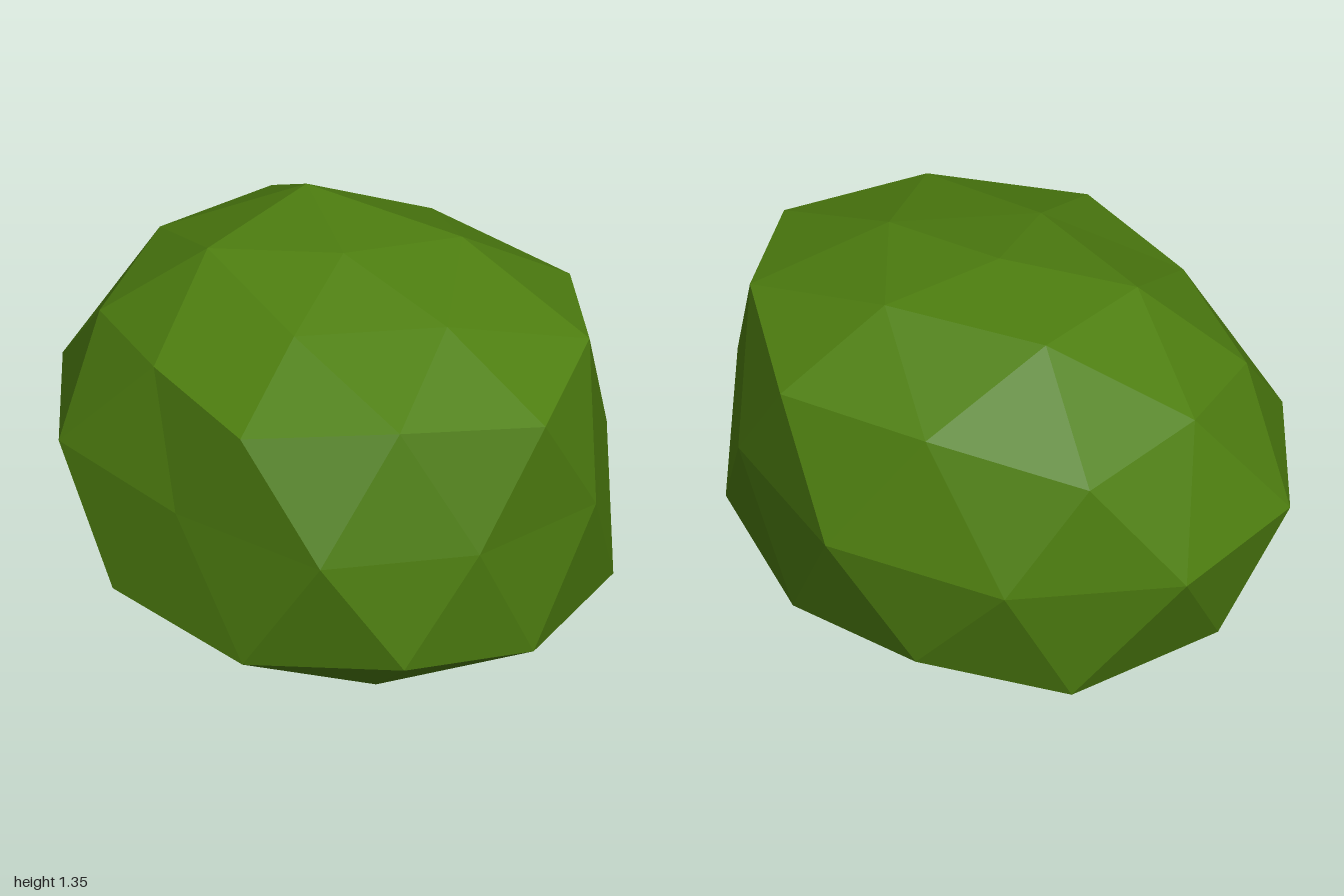
import * as THREE from 'three';

// Cross-sections from top to bottom, each ring running from +x towards +z
const top = [0.05, 1.355, 0.05];
const crown = [[0.53, 1.27, 0.05], [0.2, 1.255, 0.43], [-0.35, 1.305, 0.28], [-0.37, 1.345, -0.2], [0.2, 1.315, -0.35]];
const shoulder = [
  [0.995, 1.085, 0.06], [0.74, 1.125, 0.48], [0.32, 1.065, 0.8], [-0.2, 1.08, 0.68], [-0.65, 1.03, 0.48],
  [-0.8, 1.11, 0.05], [-0.77, 1.08, -0.44], [-0.23, 1.13, -0.64], [0.34, 1.085, -0.71], [0.76, 1.145, -0.38],
];
const waist = [
  [0.94, 0.31], [0.64, 0.75], [0.04, 0.82], [-0.57, 0.75], [-0.97, 0.33],
  [-1, -0.22], [-0.6, -0.67], [0.04, -0.83], [0.61, -0.61], [0.97, -0.2],
].map(([x, z]) => [x, 0.68, z]);
const skirt = [
  [0.94, 0.215, 0.06], [0.81, 0.28, 0.53], [0.32, 0.21, 0.79], [-0.25, 0.28, 0.82], [-0.68, 0.23, 0.47],
  [-0.9, 0.295, 0.05], [-0.7, 0.22, -0.45], [-0.24, 0.27, -0.7], [0.32, 0.21, -0.67], [0.83, 0.27, -0.42],
];
const base = [[0.47, 0.005, 0.32], [-0.1, 0.15, 0.48], [-0.38, 0.175, 0], [-0.1, 0.075, -0.35], [0.47, 0.1, -0.3]];
const bottom = [0.05, 0.045, 0];

function foliageGeometry() {
  const positions = [];
  const tri = (...corners) => corners.forEach((p) => positions.push(...p));
  const at = (ring, i) => ring[(i + ring.length) % ring.length];

  // Caps: a pole, five inner points, ten outer points
  const cap = (pole, inner, outer, shift, flip) => {
    const face = (a, b, c) => (flip ? tri(a, c, b) : tri(a, b, c));
    for (let i = 0; i < 5; i++) {
      const a = inner[i], next = at(inner, i + 1), k = 2 * i + shift;
      face(pole, next, a);
      face(a, at(outer, k + 1), at(outer, k));
      face(a, at(outer, k), at(outer, k - 1));
      face(a, next, at(outer, k + 1));
    }
  };
  cap(top, crown, shoulder, 0, false);
  cap(bottom, base, skirt, 1, true);

  // Side bands zigzag between rings of ten
  for (let i = 0; i < 10; i++) {
    const w = waist[i], wNext = at(waist, i + 1);
    tri(shoulder[i], at(shoulder, i + 1), w);
    tri(at(shoulder, i + 1), wNext, w);
    tri(w, at(skirt, i + 1), skirt[i]);
    tri(w, wNext, at(skirt, i + 1));
  }

  const geometry = new THREE.BufferGeometry();
  geometry.setAttribute('position', new THREE.Float32BufferAttribute(positions, 3));
  geometry.computeVertexNormals();
  return geometry;
}

export function createModel() {
  const group = new THREE.Group();
  group.name = 'bush';
  const leafGreen = new THREE.MeshStandardMaterial({ color: 0x4f8010, flatShading: true });
  leafGreen.name = 'leafGreen';
  const foliage = new THREE.Mesh(foliageGeometry(), leafGreen);
  foliage.name = 'foliage';
  group.add(foliage);
  return group;
}
